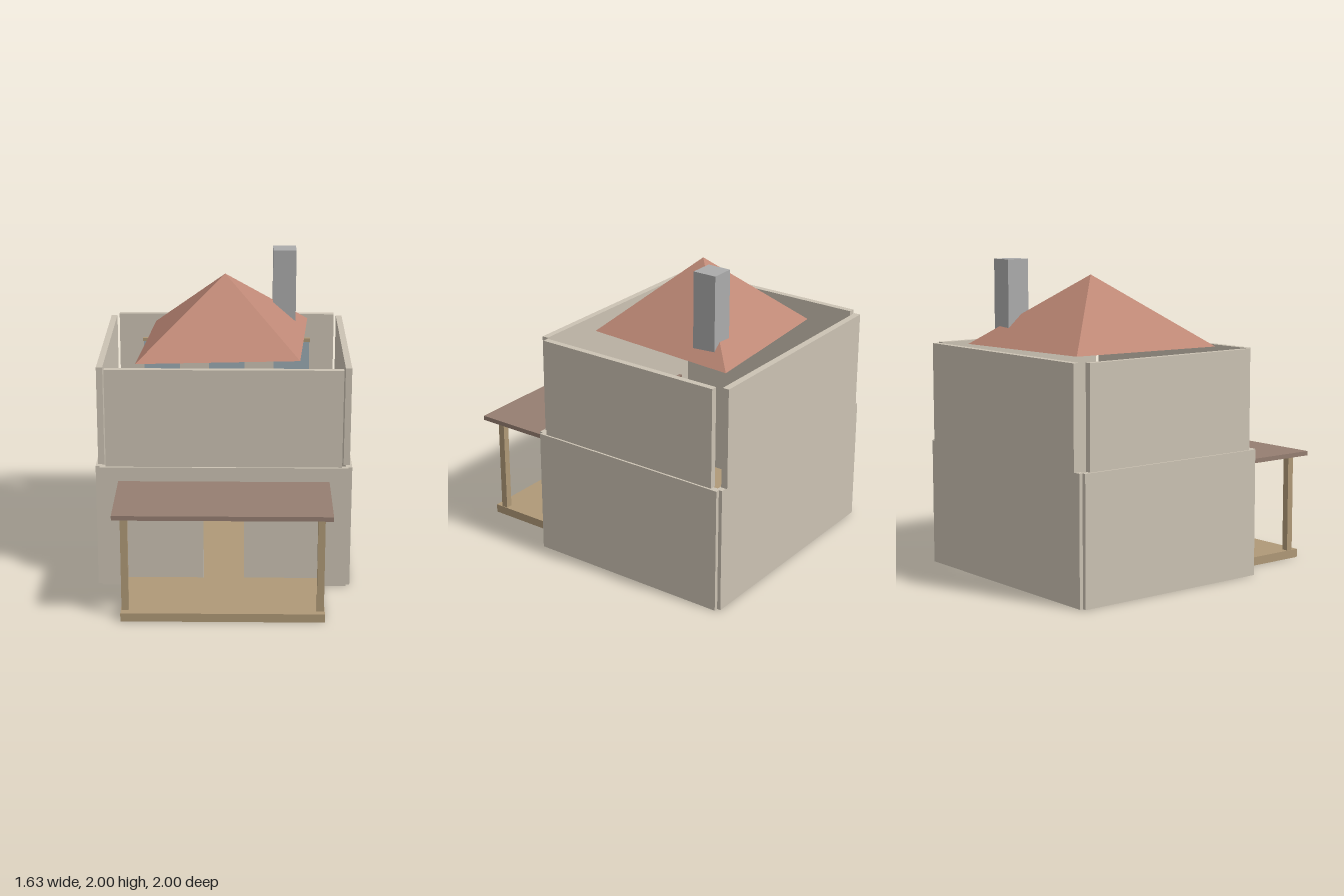
import * as THREE from 'three';

const flat = (name, color) => {
  const m = new THREE.MeshStandardMaterial({ color });
  m.name = name;
  return m;
};

export function createModel() {
  const model = new THREE.Group();
  model.name = 'house';

  const plaster = flat('plaster', 0xcbc2b3);
  const wood = flat('wood', 0xaf9977);
  const clay = flat('roofClay', 0xbe8876);
  const porchBrown = flat('porchRoofBrown', 0x957e71);
  const stone = flat('chimneyStone', 0xababab);
  const glass = flat('windowGlass', 0x9aaab2);

  // Box given by its limits on each axis
  const box = (name, mat, [x0, x1], [y0, y1], [z0, z1]) => {
    const mesh = new THREE.Mesh(new THREE.BoxGeometry(x1 - x0, y1 - y0, z1 - z0), mat);
    mesh.position.set((x0 + x1) / 2, (y0 + y1) / 2, (z0 + z1) / 2);
    mesh.name = name;
    model.add(mesh);
    return mesh;
  };

  // Ground storey: front wall with an open doorway
  const H = 0.81;
  const outline = [
    [-0.787, 0], [-0.13, 0], [-0.13, 0.5], [0.13, 0.5],
    [0.13, 0], [0.787, 0], [0.787, H], [-0.787, H],
  ].map(([x, y]) => new THREE.Vector2(x, y));
  const frontWall = new THREE.Mesh(
    new THREE.ExtrudeGeometry(new THREE.Shape(outline), { depth: 0.04, bevelEnabled: false }),
    plaster,
  );
  frontWall.position.z = 0.37;
  frontWall.name = 'lowerFrontWall';
  model.add(frontWall);
  box('lowerBackWall', plaster, [-0.787, 0.787], [0, H], [-0.99, -0.95]);
  box('floor', wood, [-0.762, 0.762], [0.005, 0.025], [-0.93, 0.352]);

  // Upper storey: four separate panels with open corners
  box('upperFrontWall', plaster, [-0.748, 0.748], [H, 1.45], [0.357, 0.397]);
  box('upperBackWall', plaster, [-0.748, 0.748], [H, 1.45], [-1, -0.957]);

  for (const s of [-1, 1]) {
    const span = (a, b) => (s > 0 ? [a, b] : [-b, -a]);
    box('lowerSideWall', plaster, span(0.773, 0.813), [0, H], [-0.967, 0.388]);
    box('upperSideWall', plaster, span(0.76, 0.8), [H, 1.45], [-0.92, 0.346]);
    box('porchPost', wood, span(0.581, 0.625), [0.055, 0.685], [0.868, 0.911]);
    // Thin lintel trim on the front wall
    box('frontTrim', wood, span(0.38, 0.663), [0.537, 0.542], [0.36, 0.412]);
  }

  // Windows on the inner face of the upper back wall
  for (const x of [-0.455, 0, 0.455]) {
    box('windowHead', wood, [x - 0.13, x + 0.13], [1.255, 1.28], [-0.96, -0.938]);
    box('windowSill', wood, [x - 0.13, x + 0.13], [1.03, 1.055], [-0.96, -0.938]);
    box('windowPane', glass, [x - 0.125, x + 0.125], [1.055, 1.255], [-0.96, -0.943]);
  }

  // Porch
  box('porchDeck', wood, [-0.63, 0.63], [0, 0.055], [0.41, 0.955]);
  box('porchRoof', porchBrown, [-0.67, 0.67], [0.688, 0.717], [0.35, 1]);

  // Skewed pyramid roof
  const roofGeo = new THREE.ConeGeometry(1, 0.45, 4).toNonIndexed();
  roofGeo.scale(0.792, 1, 0.679);
  roofGeo.rotateY(Math.PI / 4);
  roofGeo.computeVertexNormals();
  const roof = new THREE.Mesh(roofGeo, clay);
  roof.position.set(0, 1.675, -0.29);
  roof.name = 'roof';
  model.add(roof);

  box('chimney', stone, [0.316, 0.47], [1.46, 1.995], [-0.705, -0.55]);

  // Furniture on the ground floor
  box('shelf', wood, [0.672, 0.746], [0.025, 0.3], [-0.45, -0.135]);
  box('stoolBase', wood, [-0.757, -0.6], [0.025, 0.1], [0.195, 0.352]);
  box('stoolTop', wood, [-0.74, -0.62], [0.1, 0.15], [0.21, 0.335]);
  box('bed', plaster, [-0.375, -0.24], [0.025, 0.12], [-0.83, -0.74]);

  return model;
}
